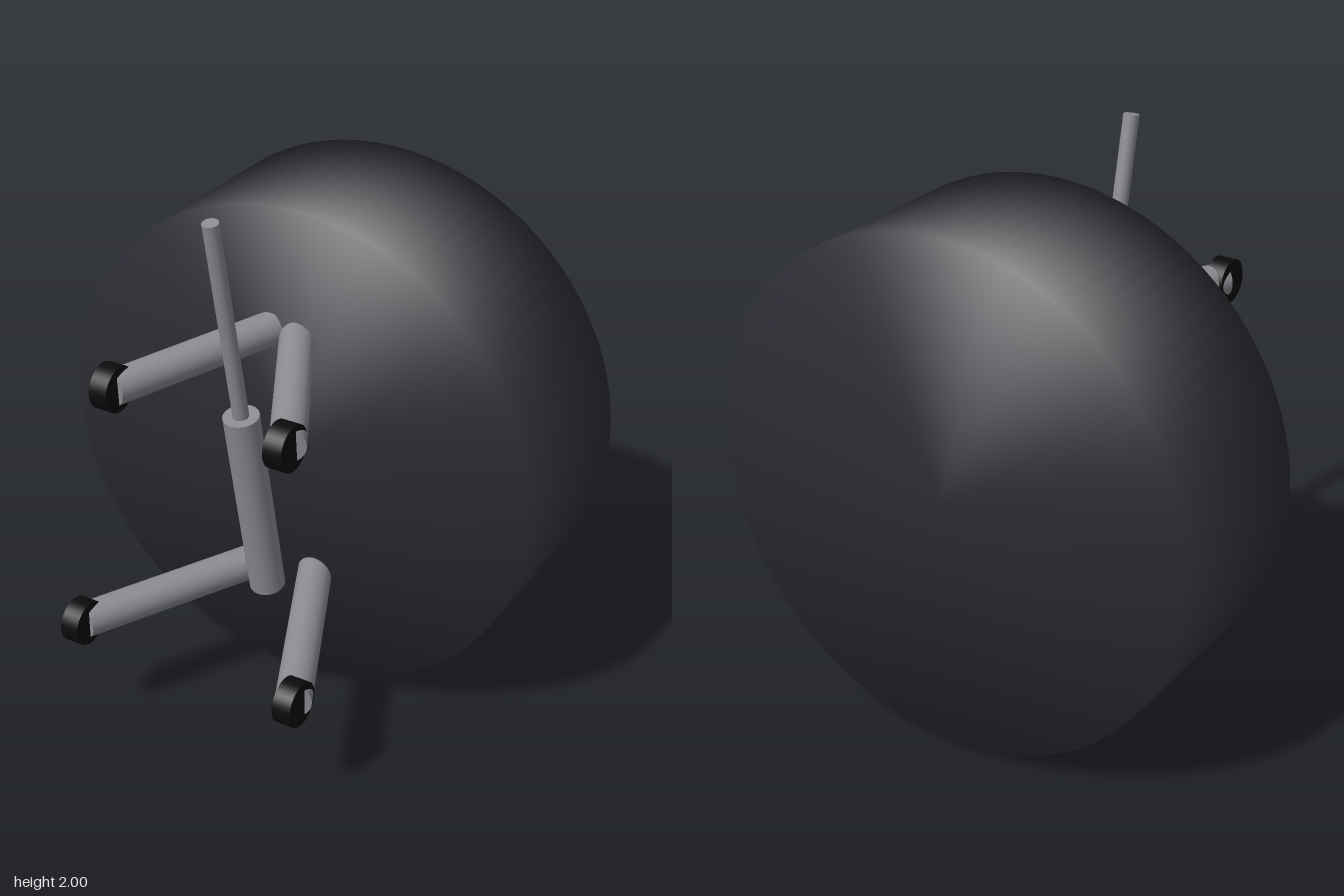
import * as THREE from 'three';

function material(name, color) {
  const m = new THREE.MeshStandardMaterial({ color });
  m.name = name;
  return m;
}

export function createModel() {
  const group = new THREE.Group();
  const charcoal = material('charcoal', 0x2b2b33);
  const grey = material('grey metal', 0x8c8c93);
  const black = material('black rubber', 0x0b0b0b);

  function add(name, geometry, mat) {
    const mesh = new THREE.Mesh(geometry, mat);
    mesh.name = name;
    group.add(mesh);
    return mesh;
  }

  // Round bar between two points
  function bar(name, from, to, radius) {
    const a = new THREE.Vector3(...from), b = new THREE.Vector3(...to);
    const dir = b.clone().sub(a);
    const mesh = add(name, new THREE.CylinderGeometry(radius, radius, dir.length(), 32), grey);
    mesh.position.copy(a).add(b).multiplyScalar(0.5);
    mesh.quaternion.setFromUnitVectors(new THREE.Vector3(0, 1, 0), dir.normalize());
  }

  // Big drum, softly shaded over its rims and leaning slightly
  const profile = [[0, -0.342], [0.942, -0.342], [0.942, 0.342], [0, 0.342]]
    .map(([r, y]) => new THREE.Vector2(r, y));
  const drum = add('drum', new THREE.LatheGeometry(profile, 96), charcoal);
  drum.position.set(0, 0.952, -0.37);
  drum.rotation.x = Math.PI / 2 + 0.0155;

  // Four struts, each with a small roller on its outer end
  const struts = [
    ['upperRight', [-0.077, 1.425, -0.03], [-0.335, 1.385, 0.565], 0.062, [-0.34, 1.387, 0.565]],
    ['upperLeft', [0.022, 1.412, -0.03], [0.345, 1.362, 0.56], 0.062, [0.335, 1.36, 0.56]],
    ['lowerRight', [-0.1, 0.46, -0.06], [-0.455, 0.445, 0.64], 0.064, [-0.457, 0.448, 0.65]],
    ['lowerLeft', [0.087, 0.457, -0.06], [0.422, 0.435, 0.65], 0.064, [0.422, 0.436, 0.65]],
  ];
  for (const [name, from, to, radius, hub] of struts) {
    bar(name + 'Strut', from, to, radius);
    const roller = add(name + 'Roller', new THREE.CylinderGeometry(0.082, 0.082, 0.07, 32), black);
    roller.rotation.z = Math.PI / 2;
    roller.position.set(...hub);
  }

  // Central sleeve with a thin rod rising out of it
  bar('sleeve', [-0.005, 0.468, 0.128], [-0.019, 1.23, 0.27], 0.065);
  bar('rod', [-0.019, 1.2, 0.264], [-0.03, 1.995, 0.417], 0.029);

  return group;
}
